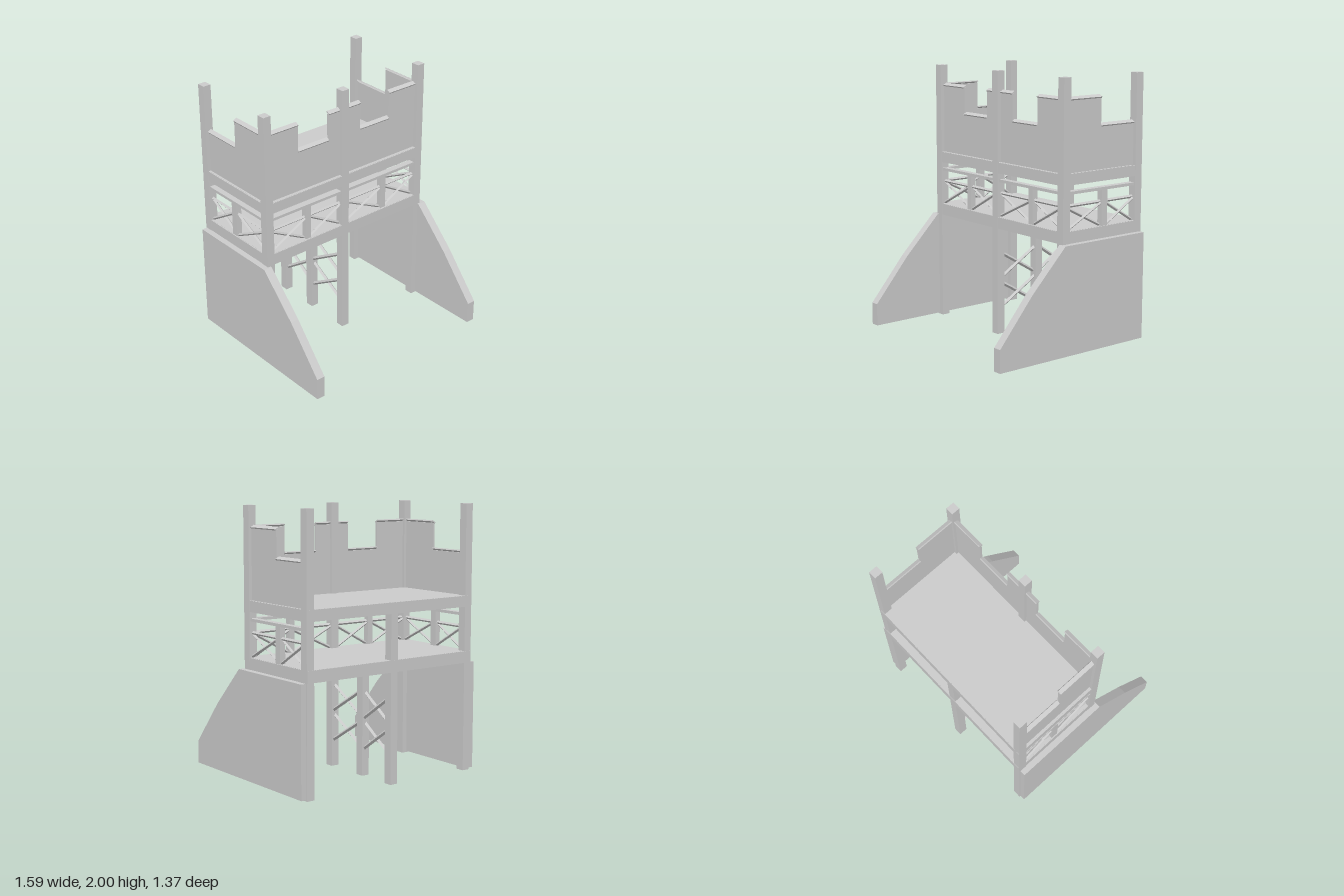
import * as THREE from 'three';

const material = new THREE.MeshStandardMaterial({ color: 0xcccccc, flatShading: true });

// Box given by its minimum and maximum on each axis
function box(parent, name, x0, x1, y0, y1, z0, z1) {
  const mesh = new THREE.Mesh(new THREE.BoxGeometry(x1 - x0, y1 - y0, z1 - z0), material);
  mesh.position.set((x0 + x1) / 2, (y0 + y1) / 2, (z0 + z1) / 2);
  mesh.name = name;
  parent.add(mesh);
  return mesh;
}

// Plank along local x, tilted so its outer edge hangs lower
function tiltedPlank(parent, name, x0, x1, y, z = 0) {
  const mesh = box(parent, name, x0, x1, y - 0.005, y + 0.005, z - 0.0165, z + 0.0165);
  mesh.rotation.x = Math.PI / 6;
}

// Two crossing square battens filling a rectangle in the local xy plane
function crossBrace(parent, x0, x1, y0, y1, size = 0.016) {
  const length = Math.hypot(x1 - x0, y1 - y0);
  const angle = Math.atan2(y1 - y0, x1 - x0);
  for (const s of [-1, 1]) {
    const mesh = new THREE.Mesh(new THREE.BoxGeometry(length, size, size), material);
    mesh.position.set((x0 + x1) / 2, (y0 + y1) / 2, s * 0.006);
    mesh.rotation.set(Math.PI / 4, 0, s * angle, 'ZYX');
    mesh.name = 'crossBrace';
    parent.add(mesh);
  }
}

// Railing of one bay: middle post, rails and two crossed braces
function railing(parent, x0, x1, postX, postW) {
  const g = new THREE.Group();
  g.name = 'railing';
  box(g, 'railingPost', postX - postW / 2, postX + postW / 2, 0.9, 1.18, -0.022, 0.022);
  box(g, 'topRail', x0, x1, 1.172, 1.193, -0.025, 0.025);
  const rail = box(g, 'middleRail', x0, x1, 1.078, 1.096, -0.009, 0.009);
  rail.rotation.x = Math.PI / 4;
  crossBrace(g, x0, postX - postW / 2, 0.915, 1.075);
  crossBrace(g, postX + postW / 2, x1, 0.915, 1.075);
  parent.add(g);
}

// Battlement panel made of [start, end, top] steps, each with a cap
function battlement(parent, steps) {
  const g = new THREE.Group();
  g.name = 'battlement';
  const shape = new THREE.Shape();
  shape.moveTo(steps[0][0], 1.3);
  for (const [a, b, top] of steps) shape.lineTo(a, top).lineTo(b, top);
  shape.lineTo(steps[steps.length - 1][1], 1.3);
  const panel = new THREE.Mesh(
    new THREE.ExtrudeGeometry(shape, { depth: 0.016, bevelEnabled: false }), material);
  panel.position.z = -0.008;
  panel.name = 'battlementPanel';
  g.add(panel);
  for (const [a, b, top] of steps) tiltedPlank(g, 'battlementCap', a, b, top + 0.008);
  parent.add(g);
}

export function createModel() {
  const model = new THREE.Group();
  model.name = 'fortTower';
  const HIGH = 1.84, LOW = 1.635, MID = -0.016;
  const FRONT = 0.055, BACK = -0.648, CENTRE = -0.32;

  // Upright posts
  const post = (name, x, z, top) =>
    box(model, name, x - 0.031, x + 0.031, 0, top, z - 0.033, z + 0.033);
  for (const x of [-0.72, 0.72]) {
    post('frontCornerPost', x, FRONT, 2);
    post('backCornerPost', x, BACK, 2);
  }
  post('frontMiddlePost', MID, FRONT, 2);
  post('innerMiddlePost', MID, CENTRE, 0.88);
  post('backMiddlePost', MID, BACK, 1.318);

  // Two decks, each a floor on a frame of beams
  for (const [name, y0, y1] of [['lowerDeck', 0.82, 0.908], ['upperDeck', 1.24, 1.322]]) {
    const deck = new THREE.Group();
    deck.name = name;
    box(deck, 'floor', -0.74, 0.74, y1 - 0.022, y1, -0.68, 0.08);
    box(deck, 'frontBeam', -0.748, 0.748, y0, y1 - 0.001, 0.03, 0.085);
    box(deck, 'backBeam', -0.748, 0.748, y0, y1 - 0.001, -0.683, -0.63);
    box(deck, 'middleBeam', MID - 0.025, MID + 0.025, y0, y1 - 0.01, -0.65, 0.06);
    for (const s of [-1, 1]) {
      const x = s * 0.722;
      box(deck, 'sideBeam', x - 0.026, x + 0.026, y0, y1 - 0.001, -0.68, 0.08);
    }
    model.add(deck);
  }

  // Front railings and battlements on both sides of the middle post
  const front = new THREE.Group();
  front.name = 'frontWall';
  front.position.z = 0.048;
  railing(front, -0.69, -0.045, -0.357, 0.046);
  railing(front, 0.013, 0.69, 0.376, 0.046);
  battlement(front, [[-0.69, -0.43, HIGH], [-0.43, -0.15, LOW], [-0.15, -0.045, HIGH]]);
  battlement(front, [[0.013, 0.15, HIGH], [0.15, 0.43, LOW], [0.43, 0.69, HIGH]]);
  model.add(front);

  // Side walls, local x running along the depth
  for (const s of [-1, 1]) {
    const side = new THREE.Group();
    side.name = s > 0 ? 'leftWall' : 'rightWall';
    side.position.x = s * 0.718;
    side.rotation.y = s * Math.PI / 2;
    const span = (a, b) => (s > 0 ? [a, b] : [-b, -a]);
    railing(side, ...span(-0.025, 0.615), -s * CENTRE, 0.055);
    const steps = [[...span(-0.025, 0.29), HIGH], [...span(0.29, 0.615), LOW]];
    battlement(side, s > 0 ? steps : steps.reverse());
    model.add(side);
  }

  // Sloping buttress walls outside the legs
  const profile = [[0.69, 0.01], [0.69, 0.18], [0.4, 0.52], [0.1, 0.82], [-0.672, 0.82], [-0.672, 0.01]];
  const shape = new THREE.Shape(profile.map(([z, y]) => new THREE.Vector2(-z, y)));
  for (const s of [-1, 1]) {
    const wall = new THREE.Mesh(
      new THREE.ExtrudeGeometry(shape, { depth: 0.066, bevelEnabled: false }), material);
    wall.rotation.y = Math.PI / 2;
    wall.position.x = s > 0 ? 0.728 : -0.794;
    wall.name = s > 0 ? 'leftButtress' : 'rightButtress';
    model.add(wall);
  }

  // Climbing frame of crossed bars between the three middle legs
  const climber = new THREE.Group();
  climber.name = 'climbingFrame';
  climber.rotation.y = Math.PI / 2;
  climber.position.x = MID;
  for (const [a, b] of [[-FRONT, -CENTRE], [-CENTRE, -BACK]])
    for (const y of [0.19, 0.42]) crossBrace(climber, a, b, y, y + 0.22, 0.02);
  model.add(climber);

  return model;
}
